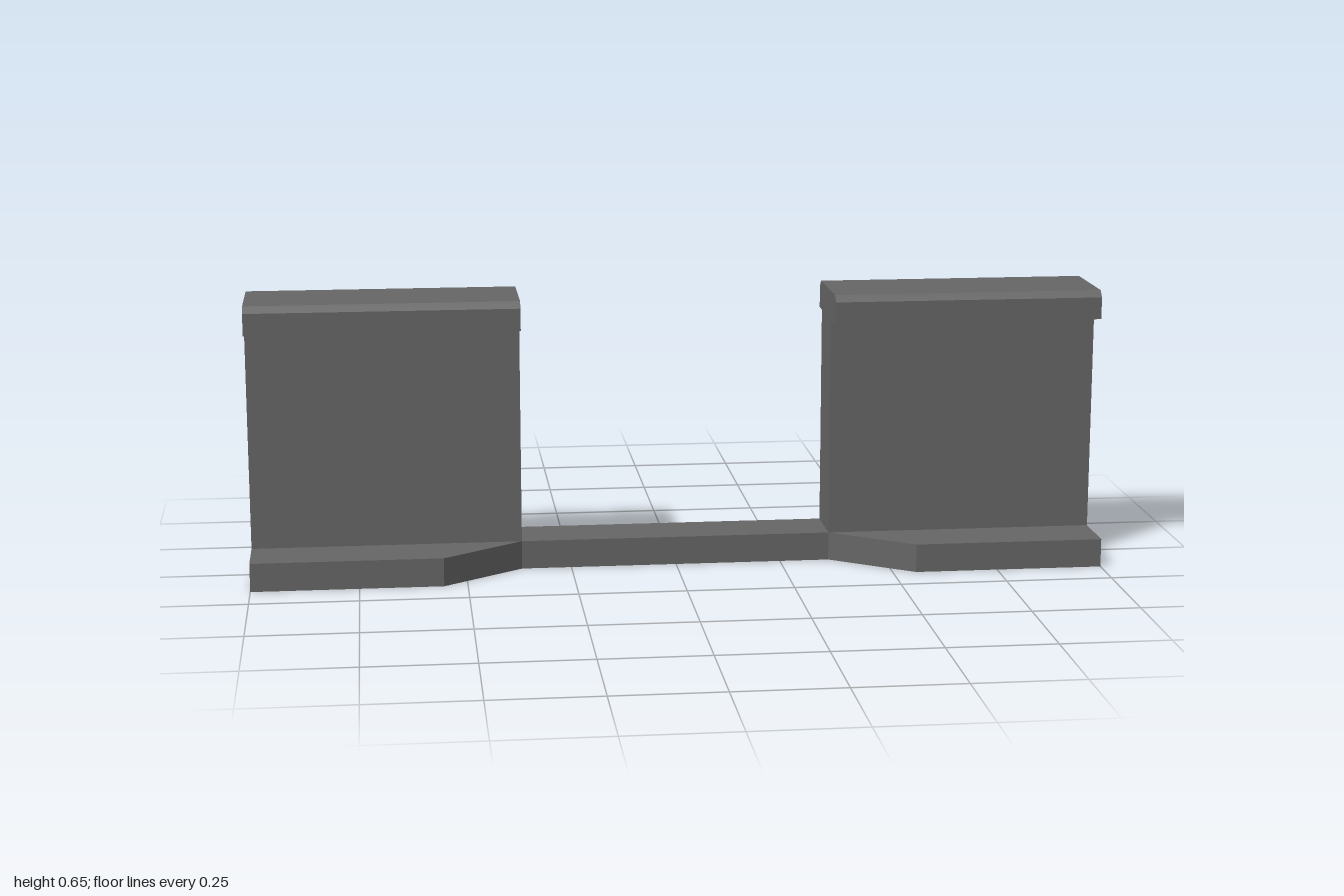
import * as THREE from 'three';

const INNER = 0.367, OUTER = 1, FOOT_INNER = 0.555;
const FRONT = 0.017, BACK = -0.117, STEP = 0.067;

// Open sheet: a [z, y] profile swept along x; start and end x may vary per point
function sheet(profile, xLow, xHigh) {
  const pos = [];
  for (let i = 0; i < profile.length - 1; i++) {
    const corner = (k, x) => [x(k), profile[k][1], profile[k][0]];
    const a = corner(i, xLow), b = corner(i + 1, xLow);
    const c = corner(i + 1, xHigh), d = corner(i, xHigh);
    pos.push(...a, ...b, ...c, ...a, ...c, ...d);
  }
  const geo = new THREE.BufferGeometry();
  geo.setAttribute('position', new THREE.Float32BufferAttribute(pos, 3));
  geo.computeVertexNormals();
  return geo;
}

export function createModel() {
  const group = new THREE.Group();
  const grey = new THREE.MeshStandardMaterial({ color: 0x666666, side: THREE.DoubleSide });
  grey.name = 'dark grey';
  const add = (parent, name, geo) => {
    const mesh = new THREE.Mesh(geo, grey);
    mesh.name = name;
    parent.add(mesh);
  };

  // Chamfered coping over the wall, listed from back to front
  const coping = [
    [BACK, 0.585], [-0.15, 0.585], [-0.15, 0.637], [-0.135, 0.652],
    [0.068, 0.652], [0.083, 0.637], [0.083, 0.585], [FRONT, 0.585],
  ];
  const foot = [[FRONT, STEP], [0.15, STEP], [0.15, 0], [FRONT, 0]];

  for (const s of [1, -1]) {
    const side = new THREE.Group();
    side.name = s > 0 ? 'leftWall' : 'rightWall';
    group.add(side);

    // Sweep between the opening and the open outer end, on either side
    const sweep = (profile, inner) => {
      const near = (k) => s * inner(k), far = () => s * OUTER;
      return s > 0 ? sheet(profile, near, far) : sheet(profile, far, near);
    };
    const straight = () => INNER;

    add(side, 'backFace', sweep([[BACK, 0], [BACK, 0.585]], straight));
    add(side, 'frontFace', sweep([[FRONT, 0.585], [FRONT, STEP]], straight));
    add(side, 'coping', sweep(coping, straight));

    // Closed end facing the opening
    const outline = [[BACK, STEP], ...coping, [FRONT, STEP]];
    const end = new THREE.ShapeGeometry(
      new THREE.Shape(outline.map(([z, y]) => new THREE.Vector2(s * z, y))));
    end.rotateY(-s * Math.PI / 2).translate(s * INNER, 0, 0);
    add(side, 'openingEnd', end);

    // Foot ledge with its slanted inner end
    const footX = (k) => (k === 1 || k === 2 ? FOOT_INNER : INNER);
    add(side, 'footLedge', sweep(foot, footX));
    const slant = new THREE.PlaneGeometry(
      Math.hypot(FOOT_INNER - INNER, 0.15 - FRONT), STEP);
    slant.rotateY(-s * Math.atan2(0.15 - FRONT, FOOT_INNER - INNER));
    slant.translate(s * (INNER + FOOT_INNER) / 2, STEP / 2, (FRONT + 0.15) / 2);
    add(side, 'footSlant', slant);
  }

  // Low sill joining the two walls
  add(group, 'sill', sheet(
    [[BACK, 0], [BACK, STEP], [FRONT, STEP], [FRONT, 0]], () => -INNER, () => INNER));

  return group;
}
